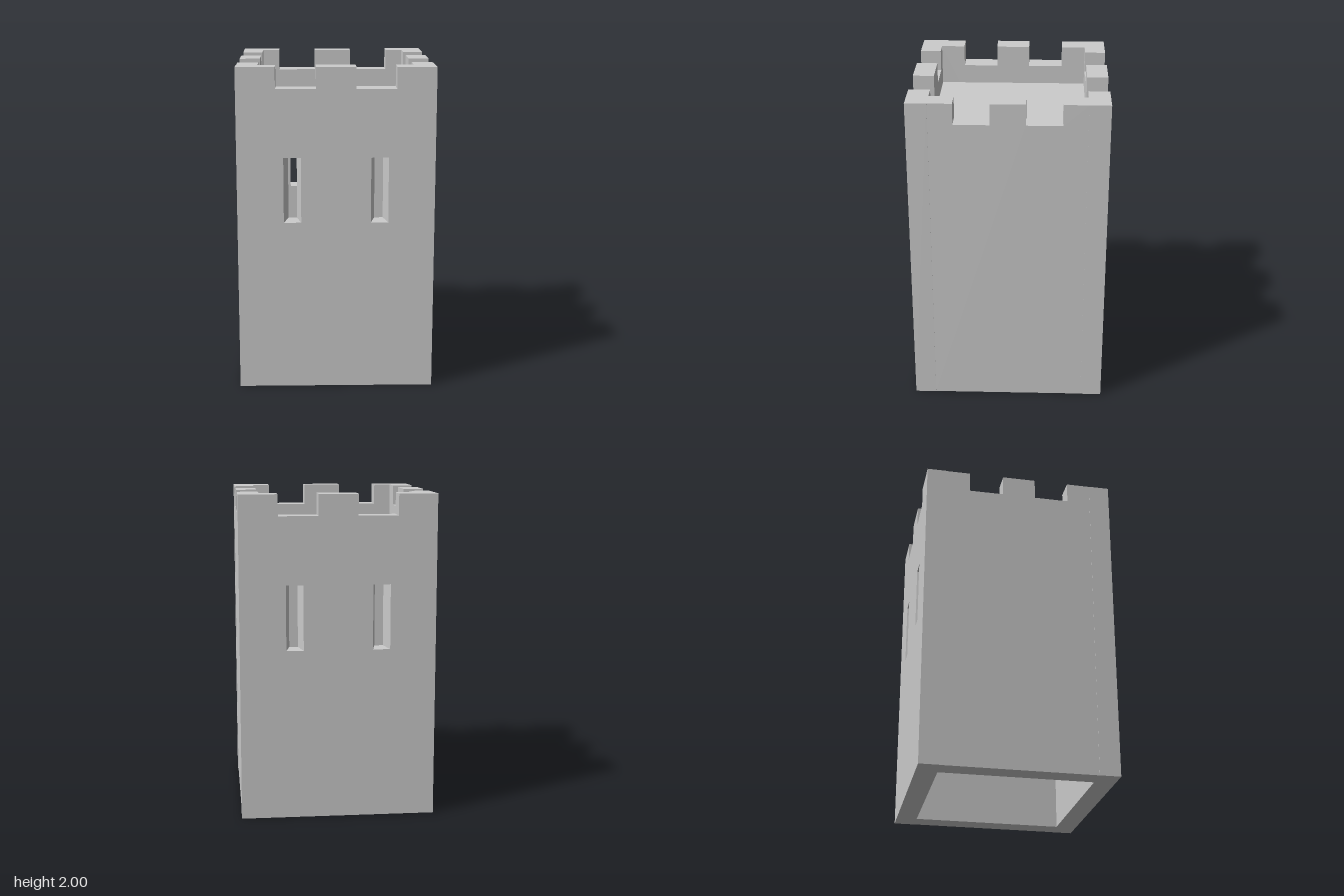
import * as THREE from 'three';

const TOP = 2, NOTCH = 1.87, THICK = 0.13, HALF = 0.6, INNER = HALF - THICK;
const SLOT = { x: 0.265, halfWidth: 0.053, bottom: 1.055, top: 1.455, taper: 0.5 };

const material = new THREE.MeshStandardMaterial({ color: 0xcccccc, flatShading: true });

// Wall outline with a corner, middle and corner merlon
function wallShape(half, gapOuter, gapInner) {
  const shape = new THREE.Shape();
  shape.moveTo(-half, 0);
  shape.lineTo(half, 0);
  shape.lineTo(half, TOP);
  for (const [a, b] of [[gapOuter, gapInner], [-gapInner, -gapOuter]]) {
    shape.lineTo(a, TOP);
    shape.lineTo(a, NOTCH);
    shape.lineTo(b, NOTCH);
    shape.lineTo(b, TOP);
  }
  shape.lineTo(-half, TOP);
  shape.closePath();
  return shape;
}

function extrudeWall(shape, depth) {
  return new THREE.ExtrudeGeometry(shape, { depth, bevelEnabled: false });
}

// Front and back wall: two slots that narrow towards the inside
function slottedWall() {
  const shape = wallShape(HALF, 0.363, 0.12);
  const { x, halfWidth: w, bottom, top, taper } = SLOT;
  for (const c of [-x, x]) {
    const hole = new THREE.Path();
    hole.moveTo(c - w, bottom);
    hole.lineTo(c - w, top);
    hole.lineTo(c + w, top);
    hole.lineTo(c + w, bottom);
    hole.closePath();
    shape.holes.push(hole);
  }
  const geometry = extrudeWall(shape, THICK);
  const p = geometry.attributes.position;
  for (let i = 0; i < p.count; i++) {
    const y = p.getY(i);
    const isSlot = y > bottom - 0.01 && y < top + 0.01;
    if (!isSlot || p.getZ(i) > THICK / 2) continue;
    const c = Math.sign(p.getX(i)) * x;
    p.setX(i, c + (p.getX(i) - c) * taper);
  }
  geometry.computeVertexNormals();
  return geometry.translate(0, 0, INNER);
}

export function createModel() {
  const tower = new THREE.Group();
  tower.name = 'tower';

  const add = (name, geometry, turn = 0) => {
    const mesh = new THREE.Mesh(geometry, material);
    mesh.name = name;
    mesh.rotation.y = turn;
    tower.add(mesh);
    return mesh;
  };

  const broad = slottedWall();
  add('frontWall', broad);
  add('backWall', broad, Math.PI);

  // Side walls fit between the broad walls, set back by a hair
  const side = extrudeWall(wallShape(INNER, 0.322, 0.105), THICK - 0.002).translate(0, 0, INNER);
  add('leftWall', side, Math.PI / 2);
  add('rightWall', side, -Math.PI / 2);

  // Roof deck below the battlements
  add('roofDeck', new THREE.BoxGeometry(INNER * 2, 0.07, INNER * 2)).position.y = 1.715;

  return tower;
}
